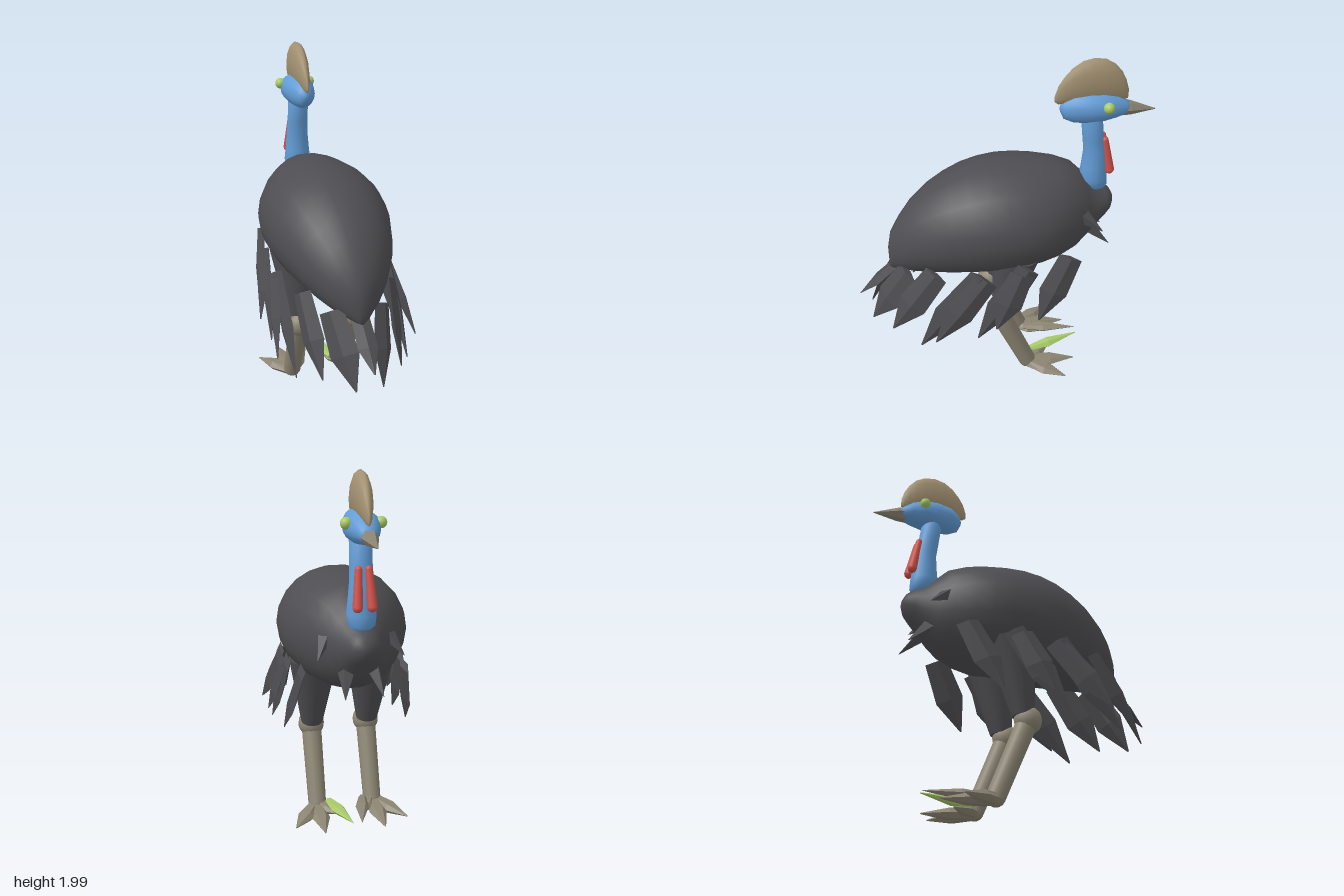
import * as THREE from 'three';

const mat = (name, color) => {
  const m = new THREE.MeshStandardMaterial({ color });
  m.name = name;
  return m;
};
const V = (x, y, z) => new THREE.Vector3(x, y, z);

// Closed skin over elliptical rings {c, u, v}, with u x v pointing towards the last ring
function loft(rings, sides, flat = false) {
  const pos = [], idx = [];
  for (const { c, u, v } of rings) {
    for (let j = 0; j < sides; j++) {
      const a = (j / sides) * Math.PI * 2;
      const p = c.clone().addScaledVector(u, Math.cos(a)).addScaledVector(v, Math.sin(a));
      pos.push(p.x, p.y, p.z);
    }
  }
  const last = rings.length - 1;
  for (let i = 0; i < last; i++) {
    for (let j = 0; j < sides; j++) {
      const k = (j + 1) % sides;
      const a = i * sides + j, b = i * sides + k;
      idx.push(a, b, b + sides, a, b + sides, a + sides);
    }
  }
  const start = rings.length * sides;
  for (const r of [rings[0], rings[last]]) pos.push(r.c.x, r.c.y, r.c.z);
  for (let j = 0; j < sides; j++) {
    const k = (j + 1) % sides;
    idx.push(start, k, j, start + 1, last * sides + j, last * sides + k);
  }
  let g = new THREE.BufferGeometry();
  g.setAttribute('position', new THREE.Float32BufferAttribute(pos, 3));
  g.setIndex(idx);
  if (flat) g = g.toNonIndexed();
  g.computeVertexNormals();
  return g;
}

// Skin along z from stations [z, top, bottom, half width]
const hull = (stations, sides, flat) => loft(
  [...stations].sort((a, b) => a[0] - b[0]).map(([z, t, b, w]) => ({
    c: V(0, (t + b) / 2, z), u: V(w, 0, 0), v: V(0, (t - b) / 2, 0),
  })), sides, flat);

// Faceted blade from base to tip; profile rows are [fraction, half width, half thickness]
function blade(base, tip, outward, profile, sides = 4) {
  const d = tip.clone().sub(base).normalize();
  const u = outward.clone().cross(d).normalize();
  const v = d.clone().cross(u);
  return loft(profile.map(([t, w, h]) => ({
    c: base.clone().lerp(tip, t), u: u.clone().multiplyScalar(w), v: v.clone().multiplyScalar(h),
  })), sides, true);
}

// Round limb between two points
function limb(a, b, ra, rb) {
  const d = b.clone().sub(a);
  const g = new THREE.CylinderGeometry(rb, ra, d.length(), 16);
  g.applyQuaternion(new THREE.Quaternion().setFromUnitVectors(V(0, 1, 0), d.clone().normalize()));
  const m = a.clone().add(b).multiplyScalar(0.5);
  return g.translate(m.x, m.y, m.z);
}

export function createModel() {
  const plumage = mat('charcoal plumage', 0x4e4e52);
  const skin = mat('blue skin', 0x629cd6);
  const horn = mat('tan casque', 0xa59373);
  const scale = mat('grey brown scale', 0x8c8573);
  const red = mat('red wattle', 0xd2524a);
  const green = mat('light green', 0xa8c968);

  const model = new THREE.Group();
  model.name = 'flightlessBird';
  const add = (name, geometry, material) => {
    const m = new THREE.Mesh(geometry, material);
    m.name = name;
    model.add(m);
    return m;
  };

  // Body, drooping at the tail and narrowing to a rounded breast
  add('body', hull([
    [0.645, 0.92, 0.785, 0.025], [0.625, 1.02, 0.78, 0.07], [0.57, 1.11, 0.78, 0.138],
    [0.5, 1.198, 0.78, 0.195], [0.4, 1.285, 0.78, 0.255], [0.3, 1.345, 0.78, 0.295],
    [0.2, 1.387, 0.78, 0.327], [0.1, 1.411, 0.782, 0.347], [0, 1.422, 0.785, 0.355],
    [-0.1, 1.42, 0.79, 0.35], [-0.2, 1.41, 0.8, 0.33], [-0.3, 1.395, 0.815, 0.287],
    [-0.4, 1.36, 0.85, 0.225], [-0.47, 1.29, 0.9, 0.16], [-0.53, 1.235, 0.965, 0.117],
    [-0.58, 1.215, 1.02, 0.095], [-0.615, 1.185, 1.06, 0.065], [-0.633, 1.15, 1.1, 0.025],
  ], 22), plumage);

  // Neck, waisted above a flared root
  add('neck', loft([
    [1.21, -0.53, 0.04], [1.235, -0.525, 0.07], [1.29, -0.515, 0.078], [1.36, -0.515, 0.07],
    [1.45, -0.515, 0.063], [1.54, -0.5, 0.059], [1.7, -0.48, 0.058],
  ].map(([y, z, r]) => ({ c: V(0, y, z), u: V(0, 0, r), v: V(r, 0, 0) })), 16), skin);

  // Head, beak and casque
  add('head', hull([
    [-0.312, 1.74, 1.705, 0.015], [-0.33, 1.77, 1.665, 0.042], [-0.38, 1.802, 1.643, 0.07],
    [-0.46, 1.815, 1.637, 0.088], [-0.54, 1.81, 1.642, 0.09], [-0.61, 1.785, 1.655, 0.07],
    [-0.66, 1.75, 1.668, 0.045], [-0.68, 1.735, 1.68, 0.03],
  ], 18), skin);
  add('beak', hull([
    [-0.64, 1.75, 1.66, 0.046], [-0.69, 1.737, 1.66, 0.04], [-0.83, 1.68, 1.676, 0.002],
  ], 6, true), scale);
  add('casque', hull([
    [-0.28, 1.8, 1.765, 0.004], [-0.3, 1.86, 1.75, 0.016], [-0.33, 1.907, 1.75, 0.025],
    [-0.37, 1.953, 1.75, 0.034], [-0.42, 1.987, 1.75, 0.041], [-0.48, 2.0, 1.75, 0.045],
    [-0.54, 1.99, 1.75, 0.043], [-0.59, 1.96, 1.75, 0.037], [-0.63, 1.913, 1.75, 0.027],
    [-0.655, 1.865, 1.75, 0.018], [-0.672, 1.81, 1.755, 0.005],
  ], 12), horn);

  const feather = [[0, 0.068, 0.022], [0.55, 0.084, 0.026], [1, 0.004, 0.003]];
  const tuft = [[0, 0.05, 0.04], [1, 0.002, 0.002]];
  const toe = [[0, 0.035, 0.032], [0.5, 0.05, 0.032], [1, 0.003, 0.003]];
  // Skirt feathers on one side, as base and tip
  const skirt = [
    [[0.28, 0.94, -0.345], [0.35, 0.56, -0.16]],
    [[0.32, 0.92, -0.1], [0.37, 0.495, 0.19]],
    [[0.335, 0.9, -0.06], [0.405, 0.58, 0.09]],
    [[0.32, 0.9, 0.16], [0.32, 0.44, 0.51]],
    [[0.33, 0.88, 0.13], [0.4, 0.53, 0.43]],
    [[0.25, 0.89, 0.4], [0.22, 0.5, 0.66]],
    [[0.14, 0.84, 0.55], [0.075, 0.47, 0.77]],
  ];
  add('tailFeather', blade(V(0, 0.81, 0.6), V(0, 0.6, 0.83), V(0, 0.6, 0.8),
    [[0, 0.05, 0.012], [0.55, 0.055, 0.014], [1, 0.004, 0.002]]), plumage);

  for (const s of [1, -1]) {
    const side = s > 0 ? 'left' : 'right';
    const P = ([x, y, z]) => V(s * x, y, z);

    add(side + 'Eye', new THREE.SphereGeometry(0.03, 14, 10), green).position.set(s * 0.087, 1.752, -0.55);

    // Hanging wattle, fuller at its lower end
    const top = P([0.026, 1.525, -0.56]), bottom = P([0.037, 1.342, -0.595]);
    add(side + 'Wattle', limb(top, bottom, 0.019, 0.026), red);
    add(side + 'WattleTop', new THREE.SphereGeometry(0.019, 12, 8), red).position.copy(top);
    add(side + 'WattleTip', new THREE.SphereGeometry(0.026, 12, 8), red).position.copy(bottom);

    // Feathers face outwards, turning back towards the tail
    skirt.forEach(([b, t]) => {
      const out = V(s * b[0], 0, Math.max(0.03, b[2] * 0.4));
      add(side + 'SkirtFeather', blade(P(b), P(t), out, feather), plumage);
    });

    // Small breast tufts
    add(side + 'ShoulderTuft', blade(P([0.165, 1.15, -0.41]), P([0.225, 1.06, -0.53]), V(s, 0, -0.5), tuft), plumage);
    add(side + 'BreastTuft', blade(P([0.07, 0.99, -0.49]), P([0.1, 0.87, -0.61]), V(s * 0.5, 0, -1), tuft), plumage);

    // Leg
    const knee = P([0.163, 0.485, 0.042]), ankle = P([0.163, 0.06, -0.135]);
    add(side + 'Thigh', limb(P([0.163, 0.93, -0.06]), P([0.163, 0.51, 0.015]), 0.14, 0.062), plumage);
    add(side + 'Knee', new THREE.SphereGeometry(0.076, 14, 10), scale).position.copy(knee);
    add(side + 'Shank', limb(knee, ankle, 0.058, 0.052), scale);
    add(side + 'Ankle', new THREE.SphereGeometry(0.053, 12, 8), scale).position.copy(ankle);

    // Foot: outer, middle and inner toes, with a long inner claw
    for (const [name, b, t] of [
      ['OuterToe', [0.17, 0.045, -0.13], [0.32, 0.028, -0.35]],
      ['MiddleToe', [0.163, 0.045, -0.13], [0.17, 0.025, -0.43]],
      ['InnerToe', [0.155, 0.05, -0.13], [0.07, 0.05, -0.28]],
    ]) add(side + name, blade(P(b), P(t), V(0, 1, 0), toe, 6), scale);
    add(side + 'Claw', blade(P([0.1, 0.075, -0.16]), P([0.025, 0.094, -0.475]), V(0, 1, 0),
      [[0, 0.022, 0.018], [0.4, 0.038, 0.028], [1, 0.002, 0.002]], 6), s > 0 ? green : scale);
  }
  return model;
}
